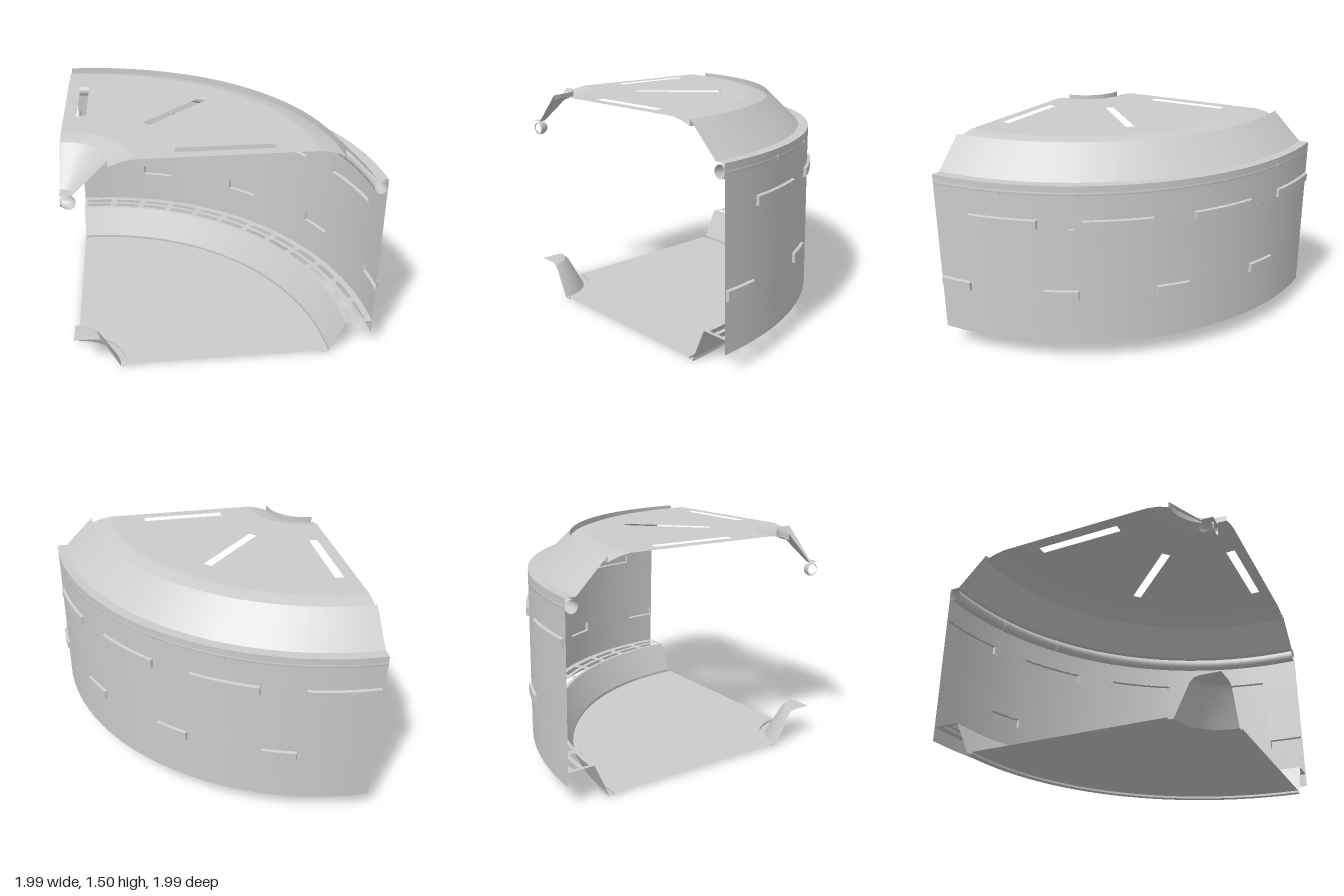
import * as THREE from 'three';
import { toCreasedNormals } from 'three/addons/utils/BufferGeometryUtils.js';

const RAD = Math.PI / 180;
const WALL = 1.97, BULGE = 1.99;

export function createModel() {
  const model = new THREE.Group();
  model.name = 'quarterRoundModule';
  // Everything is swept around one vertical axis at the corner
  const sector = new THREE.Group();
  sector.name = 'sector';
  sector.position.set(-0.995, 0, 0.995);
  model.add(sector);

  const grey = new THREE.MeshStandardMaterial({ color: 0xcccccc, side: THREE.DoubleSide });

  function add(name, geometry, parent = sector) {
    const mesh = new THREE.Mesh(geometry, grey);
    mesh.name = name;
    parent.add(mesh);
    return mesh;
  }

  // Sweep a [radius, height] profile between two angles (degrees from +x towards -z)
  function sweep(name, profile, a0 = 0, a1 = 90, parent = sector) {
    const pts = profile.map(([r, y]) => new THREE.Vector2(r, y));
    const n = Math.max(1, Math.round((a1 - a0) / 3.75));
    const geo = new THREE.LatheGeometry(pts, n, (90 + a0) * RAD, (a1 - a0) * RAD);
    return add(name, toCreasedNormals(geo, 0.4), parent);
  }

  // Sweep a strip, leaving gaps of the given width at the given angles
  function gappedSweep(name, profile, centres, width, parent) {
    let from = 0;
    for (const c of centres) {
      sweep(name, profile, from, c - width / 2, parent);
      from = c + width / 2;
    }
    if (from < 90) sweep(name, profile, from, 90, parent);
  }

  function group(name) {
    const g = new THREE.Group();
    g.name = name;
    sector.add(g);
    return g;
  }

  // Roof: centre funnel, dished edges and outer slope
  sweep('roofFunnel', [[0, 1.29], [0.08, 1.29], [0.29, 1.5], [0.29, 1.46], [0.36, 1.485], [0.44, 1.5]]);
  sweep('roofSlope', [[1.54, 1.5], [1.62, 1.485], [1.69, 1.46], [1.69, 1.5], [1.9, 1.29], [WALL, 1.29]]);

  // Flat ceiling with three light slots
  const ceiling = new THREE.Shape();
  ceiling.absarc(0, 0, 1.54, 0, Math.PI / 2, false);
  ceiling.absarc(0, 0, 0.44, Math.PI / 2, 0, true);
  ceiling.closePath();
  for (const [cx, cy, angle] of [[0.985, 0.105, 0], [0.74, 0.74, 45], [0.115, 1.0, 90]]) {
    const corners = [[-0.3, -0.031], [-0.3, 0.031], [0.3, 0.031], [0.3, -0.031]].map(([x, y]) =>
      new THREE.Vector2(x, y).rotateAround(new THREE.Vector2(), angle * RAD).add(new THREE.Vector2(cx, cy)));
    ceiling.holes.push(new THREE.Path(corners));
  }
  const ceilingGeo = new THREE.ShapeGeometry(ceiling, 24);
  ceilingGeo.rotateX(-Math.PI / 2);
  add('ceiling', ceilingGeo).position.y = 1.5;

  // Outer wall with two rows of window openings
  const wall = group('outerWall');
  const rows = [
    { y0: 0.475, y1: 0.545, centres: [3.75, 26.25, 48.75, 71.25], width: 7 },
    { y0: 0.99, y1: 1.055, centres: [15, 37.5, 60, 82.5], width: 14 },
  ];
  sweep('wallBottom', [[WALL, 0.14], [WALL, rows[0].y0]], 0, 90, wall);
  sweep('wallMiddle', [[WALL, rows[0].y1], [WALL, rows[1].y0]], 0, 90, wall);
  sweep('wallTop', [[WALL, rows[1].y1], [WALL, 1.29]], 0, 90, wall);

  // Window: a bent shallow box, open to the inside, with a slightly inset face
  function windowGeometry(width, height) {
    const geo = new THREE.BoxGeometry(1, 1, 1, 6, 1, 1);
    const inner = geo.groups[5];
    geo.setIndex(Array.from(geo.index.array).slice(0, inner.start));
    geo.clearGroups();
    const p = geo.attributes.position;
    for (let i = 0; i < p.count; i++) {
      const out = p.getZ(i) > 0;
      const r = out ? BULGE : WALL;
      const a = p.getX(i) * (width - (out ? 0.3 : 0)) * RAD;
      p.setXYZ(i, r * Math.cos(a), p.getY(i) * (height - (out ? 0.01 : 0)), -r * Math.sin(a));
    }
    // The bend mirrors the box, so restore the winding
    const idx = geo.index;
    for (let i = 0; i < idx.count; i += 3) {
      const b = idx.getX(i + 1);
      idx.setX(i + 1, idx.getX(i + 2));
      idx.setX(i + 2, b);
    }
    return toCreasedNormals(geo, 0.4);
  }
  const windows = group('windows');
  for (const { y0, y1, centres, width } of rows) {
    gappedSweep('wallPier', [[WALL, y0], [WALL, y1]], centres, width, wall);
    const geo = windowGeometry(width, y1 - y0);
    for (const c of centres) {
      const w = add('window', geo, windows);
      w.position.y = (y0 + y1) / 2;
      w.rotation.y = c * RAD;
    }
  }

  // Floor with raised centre hub, thin rims underneath and sloped skirting
  sweep('floor', [
    [0, 0.235], [0.13, 0.235], [0.165, 0.228], [0.19, 0.2], [0.28, 0.02], [0.29, 0], [0.33, 0],
    [0.33, 0.015], [1.65, 0.015], [1.65, 0], [1.69, 0], [1.69, 0.02], [1.79, 0.235],
  ]);

  // Shelf at the foot of the wall with two rows of vent slots
  const shelf = group('ventShelf');
  const vents = Array.from({ length: 12 }, (_, i) => 3.75 + i * 7.5);
  const y = 0.235;
  for (const [r0, r1] of [[1.79, 1.815], [1.855, 1.885], [1.925, WALL]])
    sweep('shelfStrip', [[r0, y], [r1, y]], 0, 90, shelf);
  for (const [r0, r1] of [[1.815, 1.855], [1.885, 1.925]])
    gappedSweep('shelfBar', [[r0, y], [r1, y]], vents, 6, shelf);

  // Pipes under the roof edge and around the centre
  function pipe(name, radius) {
    const geo = new THREE.TorusGeometry(radius, 0.042, 16, 24, Math.PI / 2);
    geo.rotateX(-Math.PI / 2);
    add(name, geo).position.y = 1.235;
  }
  pipe('outerPipe', 1.93);
  pipe('centrePipe', 0.05);

  // Pipe collars with small fixing pins through the wall
  const collarGeo = new THREE.TorusGeometry(0.042, 0.004, 6, 20);
  const pinGeo = new THREE.CylinderGeometry(0.006, 0.006, 0.03, 8);
  pinGeo.rotateZ(Math.PI / 2);
  for (let a = 15; a < 90; a += 15) {
    const fixing = group('pipeFixing');
    fixing.rotation.y = a * RAD;
    add('collar', collarGeo, fixing).position.set(1.93, 1.235, 0);
    add('pin', pinGeo, fixing).position.set(1.96, 1.235, 0);
  }

  return model;
}
